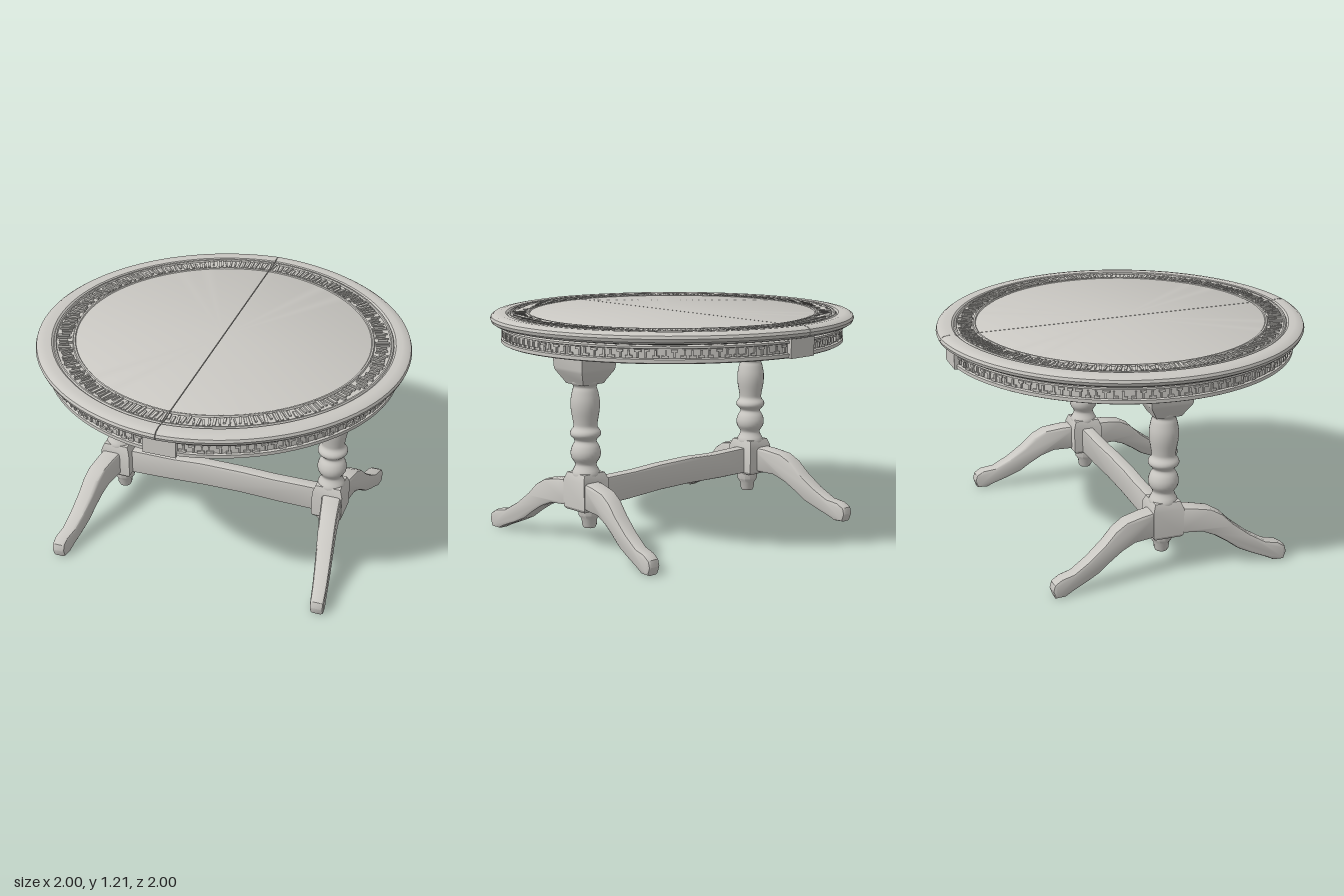
import * as THREE from 'three';
import { mergeGeometries, toCreasedNormals } from 'three/addons/utils/BufferGeometryUtils.js';

const paint = new THREE.MeshStandardMaterial({ color: 0xc9c7c2, side: THREE.DoubleSide });
paint.name = 'pale grey';

const V2 = (a) => a.map(([x, y]) => new THREE.Vector2(x, y));

function add(parent, name, geometry) {
  const mesh = new THREE.Mesh(geometry, paint);
  mesh.name = name;
  parent.add(mesh);
  return mesh;
}

// Small seeded generator for the carving
function seeded(seed) {
  return () => (seed = (seed * 16807) % 2147483647) / 2147483647;
}

// The round outline comes to a slight point at the seam
function outline(x, z) {
  const r = Math.hypot(x, z) || 1;
  return 1 - 0.035 * Math.abs(x / r) * (z / r) ** 2;
}

function bend(geometry, rule) {
  const p = geometry.attributes.position;
  for (let i = 0; i < p.count; i++) p.setXYZ(i, ...rule(p.getX(i), p.getY(i), p.getZ(i)));
  geometry.computeVertexNormals();
  return geometry;
}

const round = (points, segments, start = 0, length = Math.PI * 2) =>
  new THREE.LatheGeometry(V2(points), segments, start, length);

// Four-sided turned block: half widths and heights
const square = (points) =>
  toCreasedNormals(round(points.map(([h, y]) => [h * Math.SQRT2, y]), 4, Math.PI / 4), 0.5);

// One half of the top, closed along the seam
function halfTop(side) {
  const profile = [[0, 1.15], [0.945, 1.15], [0.975, 1.157], [0.993, 1.168], [1, 1.185], [0.995, 1.2],
    [0.98, 1.21], [0.95, 1.215], [0.915, 1.213], [0.905, 1.205], [0.9, 1.213], [0.892, 1.213],
    [0.888, 1.204], [0.803, 1.204], [0.799, 1.213], [0.79, 1.213], [0.786, 1.208], [0.78, 1.211], [0, 1.211]];
  const shell = bend(round(profile, 48, side > 0 ? 0 : Math.PI, Math.PI), (x, y, z) => {
    const k = outline(x, z);
    return [x * k + side * 0.002, y, z * k];
  });
  const group = new THREE.Group();
  group.name = side > 0 ? 'leftTopHalf' : 'rightTopHalf';
  add(group, 'topShell', toCreasedNormals(shell, 0.6));
  for (const end of [1, -1]) {
    const wall = new THREE.ShapeGeometry(new THREE.Shape(V2(profile)));
    wall.rotateY(end * Math.PI / 2);
    wall.translate(side * 0.002, 0, 0);
    add(group, 'seamWall', wall);
  }
  return group;
}

// A small block of carving set at an angle around the table
function chip(w, h, d, angle, radius, y, twist = 0) {
  const k = outline(Math.sin(angle), Math.cos(angle));
  return new THREE.BoxGeometry(w, h, d).rotateY(twist).translate(0, y, radius * k).rotateY(angle);
}

function topCarving() {
  const rnd = seeded(17), parts = [], n = 210;
  for (let i = 0; i < n; i++) {
    const a = (i + 0.5) / n * Math.PI * 2;
    const len = 0.045 + rnd() * 0.035;
    const r = 0.805 + len / 2 + rnd() * (0.08 - len);
    parts.push(chip(0.008 + rnd() * 0.007, 0.012, len, a, r, 1.206, (rnd() - 0.5) * 0.3));
  }
  return mergeGeometries(parts);
}

function apronCarving() {
  const rnd = seeded(91), parts = [], n = 130;
  for (let i = 0; i < n; i++) {
    const a = (i + 0.5) / n * Math.PI * 2;
    if (Math.abs(Math.sin(a)) < 0.11) continue;
    const up = rnd() > 0.5 ? 1 : -1;
    parts.push(chip(0.026 + rnd() * 0.012, 0.012, 0.014, a, 0.934, 1.105 + up * 0.015));
    parts.push(chip(0.01, 0.036, 0.014, a + (rnd() - 0.5) * 0.02, 0.934, 1.105));
  }
  return mergeGeometries(parts);
}

// Curved leg: side outline extruded, then splayed outward and thinned to the foot
function leg(sx, sz) {
  const upper = [[0.05, 0.365], [0.14, 0.358], [0.235, 0.342], [0.3, 0.305], [0.36, 0.245], [0.45, 0.175],
    [0.54, 0.122], [0.61, 0.11], [0.65, 0.085], [0.66, 0.05], [0.645, 0.006]];
  const lower = [[0.59, 0.005], [0.55, 0.025], [0.46, 0.062], [0.39, 0.095], [0.33, 0.14], [0.26, 0.185],
    [0.19, 0.214], [0.05, 0.22]];
  const shape = new THREE.Shape(V2([...upper, ...lower].map(([z, y]) => [z * sz, y])));
  const g = new THREE.ExtrudeGeometry(shape, {
    depth: 0.6, bevelEnabled: true, bevelThickness: 0.2, bevelSize: 0.015, bevelOffset: -0.015, bevelSegments: 2,
  });
  g.translate(0, 0, -0.3);
  g.rotateY(-Math.PI / 2);
  bend(g, (x, y, z) => {
    const t = THREE.MathUtils.clamp((Math.abs(z) - 0.05) / 0.58, 0, 1);
    return [x * (0.11 - 0.035 * t) + sx * (0.65 + 0.095 * t), y, z];
  });
  return toCreasedNormals(g, 0.7);
}

function pedestal(sx) {
  const group = new THREE.Group();
  group.name = sx > 0 ? 'leftPedestal' : 'rightPedestal';
  add(group, 'cap', square([[0, 0.88], [0.07, 0.88], [0.08, 0.9], [0.11, 0.95], [0.114, 0.965],
    [0.12, 1.06], [0, 1.06]])).position.x = sx * 0.63;

  const turned = V2([[0.07, 0.36], [0.076, 0.4], [0.06, 0.435], [0.058, 0.455], [0.076, 0.485], [0.08, 0.515],
    [0.072, 0.545], [0.058, 0.57], [0.062, 0.585], [0.08, 0.605], [0.08, 0.625], [0.064, 0.65], [0.066, 0.68],
    [0.076, 0.74], [0.077, 0.79], [0.068, 0.84], [0.061, 0.865], [0.076, 0.885], [0.078, 0.91]]);
  const column = new THREE.LatheGeometry(new THREE.SplineCurve(turned).getPoints(60), 24);
  add(group, 'turnedColumn', column).position.x = sx * 0.63;

  add(group, 'legBlock', square([[0, 0.205], [0.075, 0.205], [0.085, 0.22], [0.085, 0.365], [0.07, 0.405],
    [0, 0.41]])).position.x = sx * 0.63;
  add(group, 'pendant', toCreasedNormals(round([[0, 0.1], [0.032, 0.1], [0.04, 0.115], [0.042, 0.145],
    [0.058, 0.17], [0.06, 0.22]], 12), 0.7)).position.x = sx * 0.61;

  for (const sz of [1, -1]) add(group, sz > 0 ? 'frontLeg' : 'backLeg', leg(sx, sz));
  return group;
}

export function createModel() {
  const table = new THREE.Group();
  table.name = 'table';

  // Top in two halves with a carved border
  table.add(halfTop(1), halfTop(-1));
  add(table, 'topCarving', topCarving());

  // Apron with a sunken frieze
  const apron = bend(round([[0, 1.055], [0.935, 1.055], [0.945, 1.06], [0.945, 1.078], [0.932, 1.082],
    [0.932, 1.128], [0.945, 1.132], [0.945, 1.142], [0.925, 1.146], [0.925, 1.152]], 96), (x, y, z) => {
    const k = outline(x, z);
    return [x * k, y, z * k];
  });
  add(table, 'apron', toCreasedNormals(apron, 0.5));
  add(table, 'apronCarving', apronCarving());

  // Plain blocks where the seam meets the apron
  for (const sz of [1, -1]) {
    const block = add(table, sz > 0 ? 'frontApronBlock' : 'backApronBlock', new THREE.BoxGeometry(0.174, 0.1, 0.08));
    block.position.set(0, 1.104, sz * 0.91);
  }

  for (const sx of [1, -1]) table.add(pedestal(sx));

  // Gently waved stretcher between the pedestals
  const top = [[0.58, 0.36], [0.3, 0.36], [0.12, 0.368], [-0.12, 0.37], [-0.3, 0.36], [-0.58, 0.362]];
  const bottom = [[-0.58, 0.212], [-0.35, 0.216], [-0.1, 0.225], [0.12, 0.225], [0.35, 0.214], [0.58, 0.21]];
  const shape = new THREE.Shape(V2([...top, ...bottom]));
  const stretcher = new THREE.ExtrudeGeometry(shape, {
    depth: 0.05, bevelThickness: 0.01, bevelSize: 0.01, bevelOffset: -0.01, bevelSegments: 2,
  });
  stretcher.translate(0, 0, -0.025);
  add(table, 'stretcher', toCreasedNormals(stretcher, 0.6));

  return table;
}
